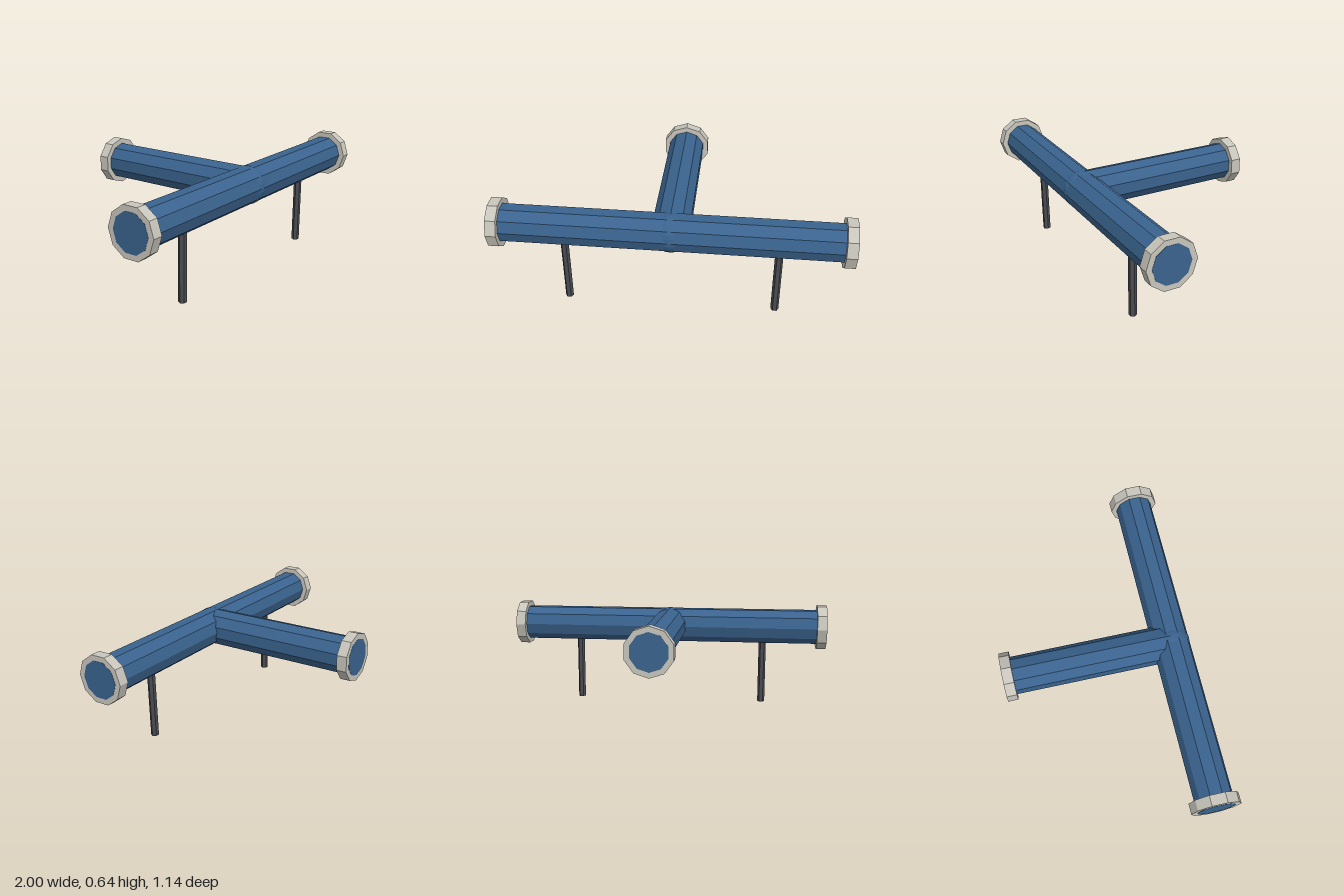
import * as THREE from 'three';

const SIDES = 10, R = 0.11, FLANGE_R = 0.142, FLANGE_L = 0.06, CAP = 0.001;
const AXIS_Y = 0.5, AXIS_Z = 0.43;

export function createModel() {
  const material = (name, color, flatShading = true) => {
    const m = new THREE.MeshStandardMaterial({ color });
    m.name = name;
    m.flatShading = flatShading;
    return m;
  };
  const blue = material('pipeBlue', 0x3a638e);
  const grey = material('flangeGrey', 0xc8c6bc);
  const dark = material('legDark', 0x4a4c52);

  const model = new THREE.Group();
  model.name = 'teePipe';

  const add = (parent, name, geometry, mat, x = 0, y = 0, z = 0) => {
    const mesh = new THREE.Mesh(geometry, mat);
    mesh.name = name;
    mesh.position.set(x, y, z);
    parent.add(mesh);
    return mesh;
  };
  const cylinder = (r, length, sides) => new THREE.CylinderGeometry(r, r, length, sides);

  // One pipe arm runs from the joint along its local +y and ends in a flange
  const addArm = (name, rx, rz) => {
    const arm = new THREE.Group();
    arm.name = name;
    arm.position.set(0, AXIS_Y, AXIS_Z);
    arm.rotation.set(rx, 0, rz);
    add(arm, 'pipe', cylinder(R, 1 + CAP, SIDES), blue, 0, (1 + CAP) / 2, 0);
    add(arm, 'flange', cylinder(FLANGE_R, FLANGE_L, SIDES), grey, 0, 1 - FLANGE_L / 2, 0);
    model.add(arm);
  };
  addArm('leftArm', 0, -Math.PI / 2);
  addArm('rightArm', 0, Math.PI / 2);
  addArm('backArm', -Math.PI / 2, 0);

  // Rounded joint showing slightly through the flat pipe sides
  add(model, 'joint', new THREE.SphereGeometry(0.111, 20, 14), blue, 0, AXIS_Y, AXIS_Z);

  // Hexagonal support legs
  for (const side of [-1, 1]) {
    const leg = add(model, side > 0 ? 'leftLeg' : 'rightLeg', cylinder(0.023, 0.4, 6), dark, side * 0.6, 0.2, AXIS_Z);
    leg.rotation.y = Math.PI / 2;
  }
  return model;
}
